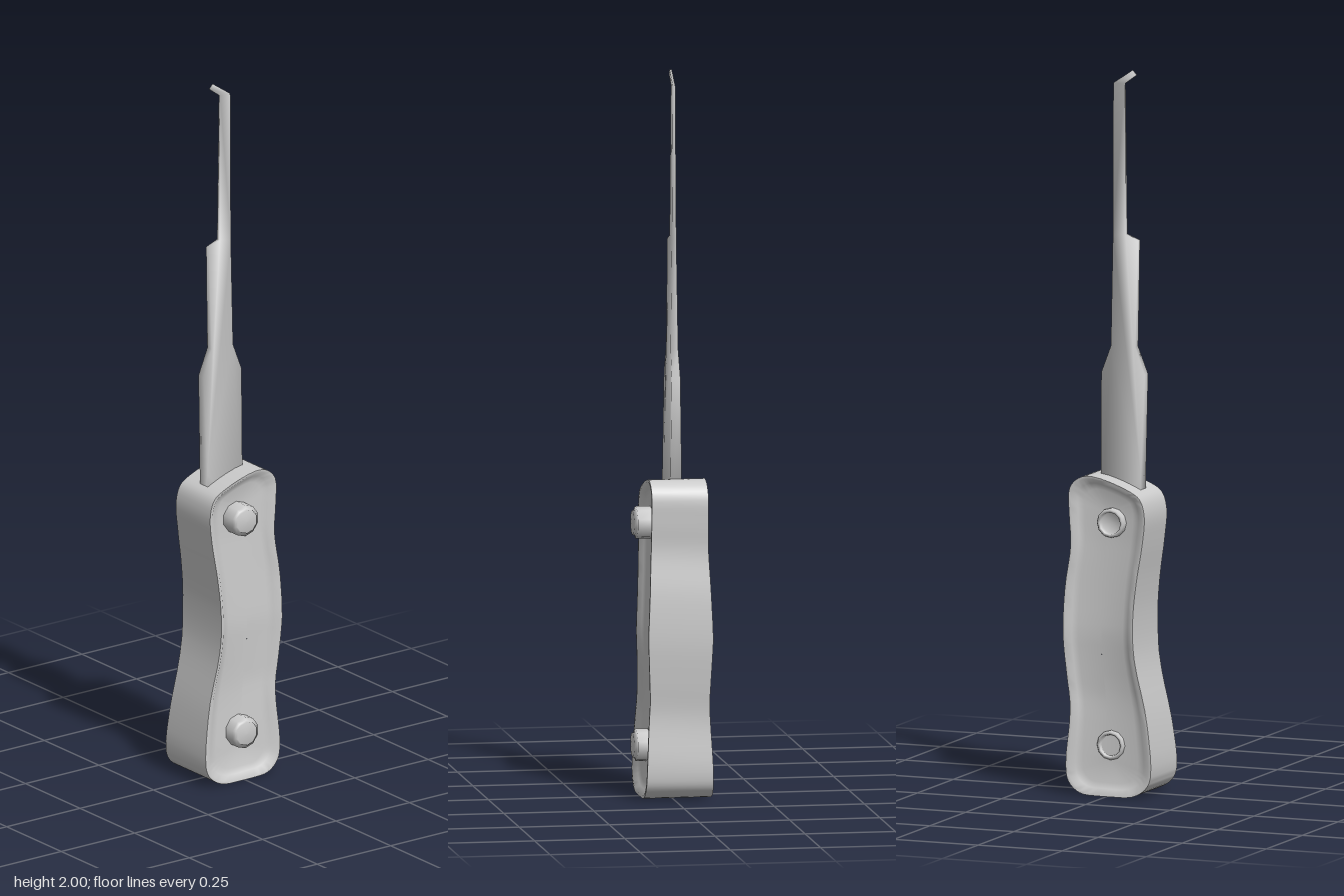
import * as THREE from 'three';
import { toCreasedNormals } from 'three/addons/utils/BufferGeometryUtils.js';

const MID_Z = -0.012; // plane of symmetry shared by blade and handle

// Piecewise-linear lookup through [y, value] pairs
function lookup(table, y) {
  if (y <= table[0][0]) return table[0][1];
  for (let i = 1; i < table.length; i++) {
    const [y0, v0] = table[i - 1], [y1, v1] = table[i];
    if (y <= y1) return v0 + (v1 - v0) * (y - y0) / (y1 - y0);
  }
  return table[table.length - 1][1];
}

// Handle: wavy outline with a thin rim and a shallow recess on both sides
function handleGeometry() {
  const outline = [
    [-0.075, 0.003], [0.02, 0], [0.08, 0.006], [0.113, 0.035], [0.122, 0.08], [0.112, 0.23], [0.122, 0.33],
    [0.131, 0.44], [0.127, 0.57], [0.112, 0.69], [0.117, 0.77], [0.116, 0.845], [0.09, 0.874],
    [0.05, 0.881], [-0.06, 0.847], [-0.092, 0.825], [-0.106, 0.78], [-0.1, 0.7], [-0.085, 0.6],
    [-0.076, 0.5], [-0.08, 0.38], [-0.118, 0.2], [-0.13, 0.06], [-0.115, 0.027],
  ].map(([x, y]) => new THREE.Vector3(x, y, 0));
  const curve = new THREE.CatmullRomCurve3(outline, true, 'centripetal');
  const N = 96;
  const halfDepth = [[0, 0.094], [0.1, 0.091], [0.27, 0.082], [0.45, 0.09], [0.7, 0.079], [0.88, 0.078]];
  const spineX = [[0.1, -0.002], [0.4, 0.025], [0.6, 0.021], [0.78, 0.007]];

  // [share of the way from outline to spine, depth below the rim, side]
  const front = [[1, 0.017], [0.36, 0.017], [0.2, 0.012], [0.07, 0], [0, 0]].map(r => [...r, 1]);
  const back = front.map(([k, drop]) => [k, drop, -1]).reverse();
  const rings = [...front, ...back];
  const positions = [], index = [];
  for (const [k, drop, side] of rings) {
    for (let i = 0; i < N; i++) {
      const p = curve.getPoint(i / N);
      const spineY = THREE.MathUtils.clamp(p.y, 0.1, 0.78);
      const x = THREE.MathUtils.lerp(p.x, lookup(spineX, spineY), k);
      const y = Math.max(0, THREE.MathUtils.lerp(p.y, spineY, k));
      positions.push(x, y, MID_Z + side * (lookup(halfDepth, y) - drop));
    }
  }
  for (let r = 0; r < rings.length - 1; r++) {
    for (let i = 0; i < N; i++) {
      const j = (i + 1) % N;
      const a = r * N + i, b = r * N + j, c = a + N, d = b + N;
      index.push(a, c, b, b, c, d);
    }
  }
  const geo = new THREE.BufferGeometry();
  geo.setAttribute('position', new THREE.Float32BufferAttribute(positions, 3));
  geo.setIndex(index);
  return toCreasedNormals(geo, 1.3);
}

// Blade: stepped, hooked outline that thins toward the tip
function bladeGeometry() {
  const shape = new THREE.Shape([
    [-0.068, 0.7], [0.05, 0.7], [0.05, 1.16], [0.022, 1.235], [0.018, 1.54], [0.018, 1.962],
    [-0.038, 2], [-0.05, 1.987], [-0.016, 1.962], [-0.02, 1.545], [-0.057, 1.53],
    [-0.05, 1.235], [-0.079, 1.16], [-0.07, 0.88],
  ].map(p => new THREE.Vector2(...p)));
  const geo = new THREE.ExtrudeGeometry(shape, { depth: 2, bevelEnabled: false });
  const thickness = [[0.88, 0.018], [1.2, 0.011], [1.55, 0.006], [2, 0.003]];
  const pos = geo.attributes.position;
  for (let i = 0; i < pos.count; i++) {
    pos.setZ(i, MID_Z + (pos.getZ(i) - 1) * lookup(thickness, pos.getY(i)));
  }
  return toCreasedNormals(geo, 1.7);
}

// Smooth turned part whose axis points along z
function turned(profile, segments) {
  const geo = new THREE.LatheGeometry(profile.map(p => new THREE.Vector2(...p)), segments);
  return geo.rotateX(Math.PI / 2);
}

export function createModel() {
  const model = new THREE.Group();
  model.name = 'hookedPickTool';
  const material = new THREE.MeshStandardMaterial({ color: 0xcccccc });
  const add = (name, geo, x = 0, y = 0) => {
    const mesh = new THREE.Mesh(geo, material);
    mesh.name = name;
    mesh.position.set(x, y, 0);
    model.add(mesh);
  };

  add('handle', handleGeometry());
  add('blade', bladeGeometry());

  // Rivets: stepped head in front, hollow collar behind
  const head = turned([[0.045, 0.045], [0.045, 0.091], [0.035, 0.092], [0.034, 0.1], [0, 0.101]], 10);
  const collar = turned([[0, -0.08], [0.028, -0.08], [0.031, -0.093], [0.037, -0.093], [0.041, -0.088], [0.041, -0.06]], 12);
  [['lower', 0.14], ['upper', 0.755]].forEach(([place, y]) => {
    add(place + 'RivetHead', head, -0.005, y);
    add(place + 'RivetCollar', collar, -0.005, y);
  });
  return model;
}
